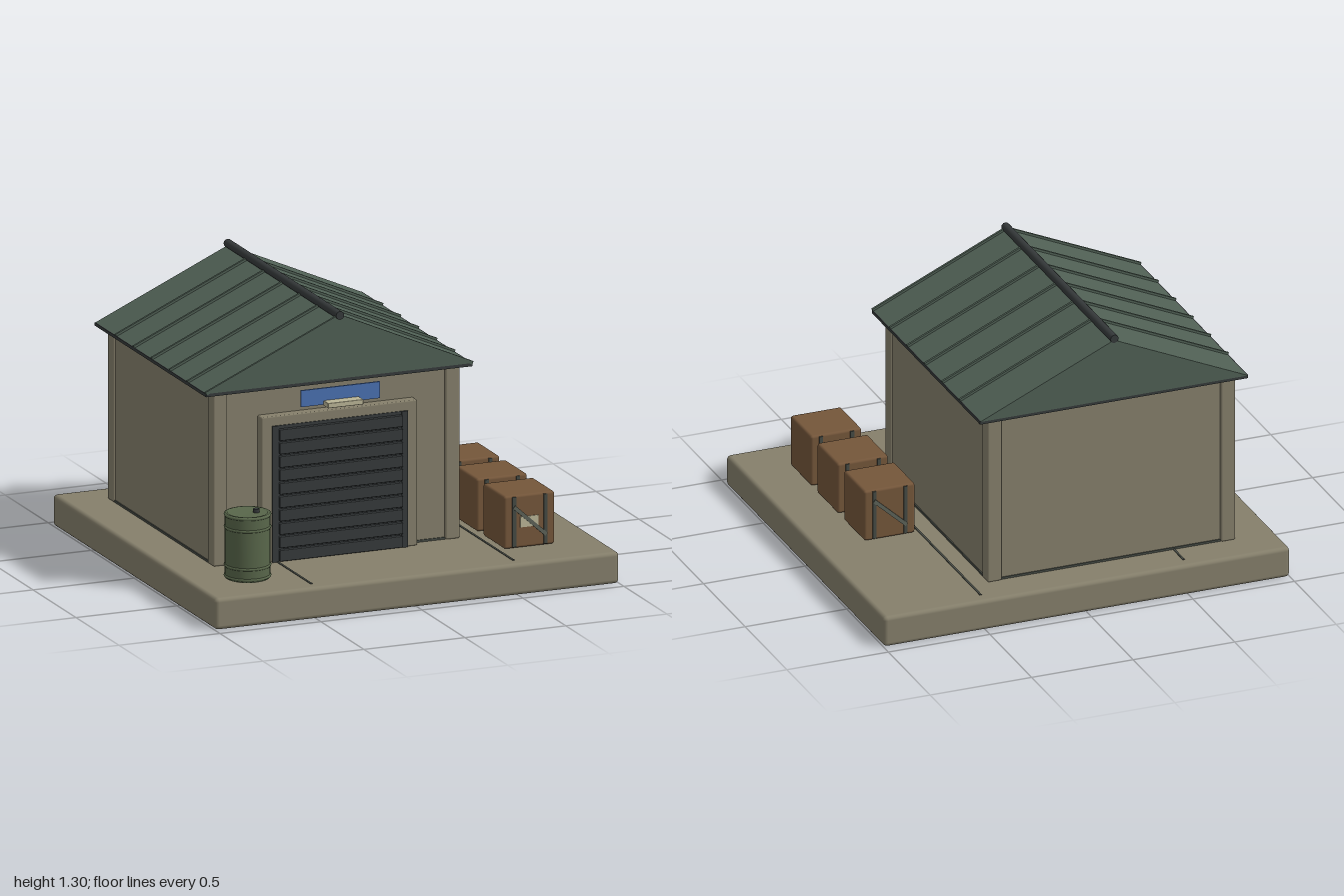
import * as THREE from 'three';
import { RoundedBoxGeometry } from 'three/addons/geometries/RoundedBoxGeometry.js';

const mat = (color, extra = {}) => new THREE.MeshStandardMaterial({ color, ...extra });
const M = {
  concrete: mat(0x857f6b),
  roof: mat(0x4f5f54, { flatShading: true }),
  dark: mat(0x35393a),
  line: mat(0x454a44),
  wood: mat(0x74563a),
  barrel: mat(0x58664a),
  blue: mat(0x4a70b0),
  cream: mat(0xb9b496),
  strap: mat(0x5c6258),
};

function add(parent, name, geometry, material, x = 0, y = 0, z = 0) {
  const mesh = new THREE.Mesh(geometry, material);
  mesh.name = name;
  mesh.position.set(x, y, z);
  parent.add(mesh);
  return mesh;
}

// Box given by its lower and upper corners, optionally with rounded edges
function span(parent, name, material, [x0, y0, z0], [x1, y1, z1], radius = 0) {
  const s = [x1 - x0, y1 - y0, z1 - z0];
  const g = radius ? new RoundedBoxGeometry(...s, 2, radius) : new THREE.BoxGeometry(...s);
  return add(parent, name, g, material, (x0 + x1) / 2, (y0 + y1) / 2, (z0 + z1) / 2);
}

const CX = -0.19; // centre line of the building

function makeWalls() {
  const g = new THREE.Group();
  g.name = 'walls';
  span(g, 'wallBlock', M.concrete, [-0.79, 0.15, -0.765], [0.41, 0.965, 0.44]);
  span(g, 'wallFoot', M.line, [-0.795, 0.15, -0.77], [0.415, 0.16, 0.445]);
  for (const x of [-0.765, 0.385])
    for (const z of [-0.745, 0.42])
      add(g, 'cornerPillar', new RoundedBoxGeometry(0.07, 0.82, 0.07, 2, 0.008), M.concrete, x, 0.56, z);
  return g;
}

function makeRoof() {
  const g = new THREE.Group();
  g.name = 'roof';
  const half = 0.66, eave = 0.98, ridge = 1.275, back = -0.81, front = 0.485;
  const gable = new THREE.Shape([
    new THREE.Vector2(-half, eave), new THREE.Vector2(half, eave), new THREE.Vector2(0, ridge),
  ]);
  add(g, 'gableRoof', new THREE.ExtrudeGeometry(gable, { depth: front - back, bevelEnabled: false }), M.roof, CX, 0, back);
  span(g, 'soffit', M.dark, [CX - half, 0.967, back], [CX + half, 0.982, front]);

  // Standing seams running down both slopes
  const rise = ridge - eave, length = Math.hypot(half, rise), angle = Math.atan2(rise, half);
  for (const side of [-1, 1])
    for (let i = 0; i < 6; i++) {
      const seam = add(g, 'roofSeam', new THREE.BoxGeometry(length, 0.016, 0.012), M.roof,
        CX + side * half / 2, (eave + ridge) / 2 + 0.003, 0.482 - i * 0.2095);
      seam.rotation.z = -side * angle;
    }
  const cap = add(g, 'ridgeCap', new THREE.CylinderGeometry(0.02, 0.02, 1.31, 12), M.dark, CX, 1.283, -0.16);
  cap.rotation.x = Math.PI / 2;
  return g;
}

function makeDoor() {
  const g = new THREE.Group();
  g.name = 'rollerDoor';
  span(g, 'doorSurround', M.concrete, [-0.575, 0.15, 0.42], [0.195, 0.84, 0.488], 0.006);
  span(g, 'doorPanel', M.dark, [-0.525, 0.15, 0.47], [0.145, 0.795, 0.492]);
  for (const x of [-0.51, 0.13])
    span(g, 'doorRail', M.dark, [x - 0.015, 0.15, 0.47], [x + 0.015, 0.795, 0.498]);
  for (let i = 0; i < 10; i++) {
    const y = 0.155 + i * 0.0635;
    span(g, 'doorSlat', M.dark, [-0.495, y, 0.485], [0.115, y + 0.053, 0.513], 0.004);
  }
  return g;
}

function makeSign() {
  const g = new THREE.Group();
  g.name = 'signAndLamp';
  span(g, 'signBoard', M.blue, [-0.385, 0.872, 0.49], [0.005, 0.95, 0.5]);
  span(g, 'lamp', M.cream, [-0.275, 0.868, 0.5], [-0.1, 0.892, 0.555], 0.003);
  return g;
}

function makeBarrel() {
  const g = new THREE.Group();
  g.name = 'barrel';
  const profile = [[0, 0], [0.1, 0], [0.104, 0.008], [0.104, 0.3], [0.1, 0.308], [0.092, 0.308], [0.09, 0.302], [0, 0.302]]
    .map(([r, y]) => new THREE.Vector2(r, y));
  add(g, 'barrelBody', new THREE.LatheGeometry(profile, 32), M.barrel);
  for (const y of [0.012, 0.062, 0.242, 0.3]) {
    const hoop = add(g, 'barrelHoop', new THREE.TorusGeometry(0.102, 0.007, 8, 32), M.barrel, 0, y, 0);
    hoop.rotation.x = Math.PI / 2;
  }
  add(g, 'barrelBung', new THREE.CylinderGeometry(0.015, 0.015, 0.018, 12), M.dark, 0.043, 0.31, 0);
  g.position.set(-0.725, 0.152, 0.675);
  return g;
}

function makeCrate(z) {
  const g = new THREE.Group();
  g.name = 'crate';
  add(g, 'crateBody', new RoundedBoxGeometry(0.25, 0.25, 0.25, 2, 0.012), M.wood, 0, 0.125, 0);
  // Straps, label and diagonal brace on both ends
  for (const s of [-1, 1]) {
    const end = new THREE.Group();
    end.name = 'crateEnd';
    end.rotation.y = s > 0 ? 0 : Math.PI;
    for (const x of [-0.077, 0.077])
      add(end, 'crateStrap', new THREE.BoxGeometry(0.018, 0.236, 0.008), M.line, x, 0.125, 0.126);
    if (s > 0) add(end, 'crateLabel', new THREE.BoxGeometry(0.09, 0.05, 0.006), M.cream, -0.002, 0.122, 0.126);
    const brace = add(end, 'crateBrace', new THREE.BoxGeometry(0.215, 0.018, 0.012), M.strap, 0, 0.125, 0.129);
    brace.rotation.z = -0.74;
    g.add(end);
  }
  g.position.set(0.65, 0.155, z);
  return g;
}

export function createModel() {
  const model = new THREE.Group();
  model.name = 'storageShed';
  span(model, 'baseSlab', M.concrete, [-1, 0, -0.95], [1, 0.15, 0.95], 0.02);
  for (const x of [-0.5, 0.5])
    span(model, 'slabJoint', M.line, [x - 0.005, 0.14, -0.89], [x + 0.005, 0.153, 0.89]);
  model.add(makeWalls(), makeRoof(), makeDoor(), makeSign(), makeBarrel());
  for (const z of [-0.04, 0.28, 0.6]) model.add(makeCrate(z));
  return model;
}
